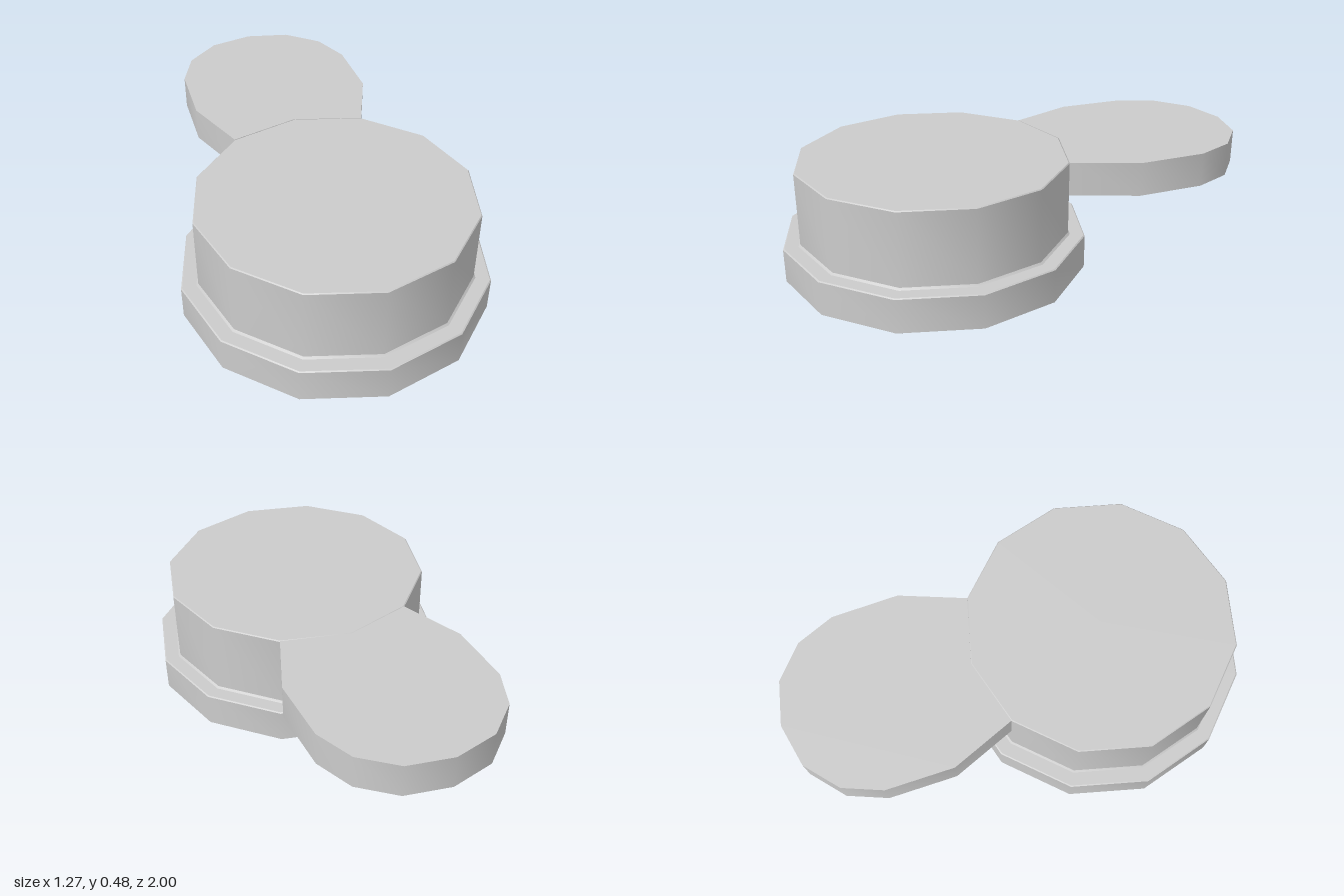
import * as THREE from 'three';
import { toCreasedNormals } from 'three/addons/utils/BufferGeometryUtils.js';

const SIDES = 12;
const CENTRE_Z = 0.36;
const BODY_RADIUS = 0.565;
const TOP = 0.477;

const material = new THREE.MeshStandardMaterial({ color: 0xcccccc });

// Smooth around the facets, sharp at the rims
function addPart(group, name, geometry) {
  const mesh = new THREE.Mesh(toCreasedNormals(geometry, 0.6), material);
  mesh.name = name;
  group.add(mesh);
  return mesh;
}

// Twelve-sided turned part from [radius, height] pairs, bottom to top
function turned(profile) {
  return new THREE.LatheGeometry(profile.map(([r, y]) => new THREE.Vector2(r, y)), SIDES);
}

export function createModel() {
  const group = new THREE.Group();

  // Wide foot plate with a barely domed underside
  addPart(group, 'base', turned([
    [0, 0], [0.625, 0.009], [0.635, 0.015], [0.635, 0.156], [0.63, 0.16], [0, 0.16],
  ])).position.z = CENTRE_Z;

  // Drum with a small fillet at its foot
  addPart(group, 'body', turned([
    [0.575, 0.158], [BODY_RADIUS, 0.168], [BODY_RADIUS, TOP - 0.004], [BODY_RADIUS - 0.004, TOP], [0, TOP],
  ])).position.z = CENTRE_Z;

  // Rounded tab reaching back, flush with the drum's top and cut to its outline
  const half = [[0.2825, -0.129], [0.39, -0.4], [0.386, -0.685], [0.32, -0.845], [0.185, -0.96]];
  const outline = [
    [0, CENTRE_Z - BODY_RADIUS],
    ...half,
    [0, -1],
    ...half.map(([x, z]) => [-x, z]).reverse(),
  ];
  const shape = new THREE.Shape(outline.map(([x, z]) => new THREE.Vector2(x, -z)));
  const thickness = 0.143;
  const tab = new THREE.ExtrudeGeometry(shape, { depth: thickness, bevelEnabled: false });
  tab.rotateX(-Math.PI / 2);
  addPart(group, 'tab', tab).position.y = TOP - thickness;

  return group;
}
